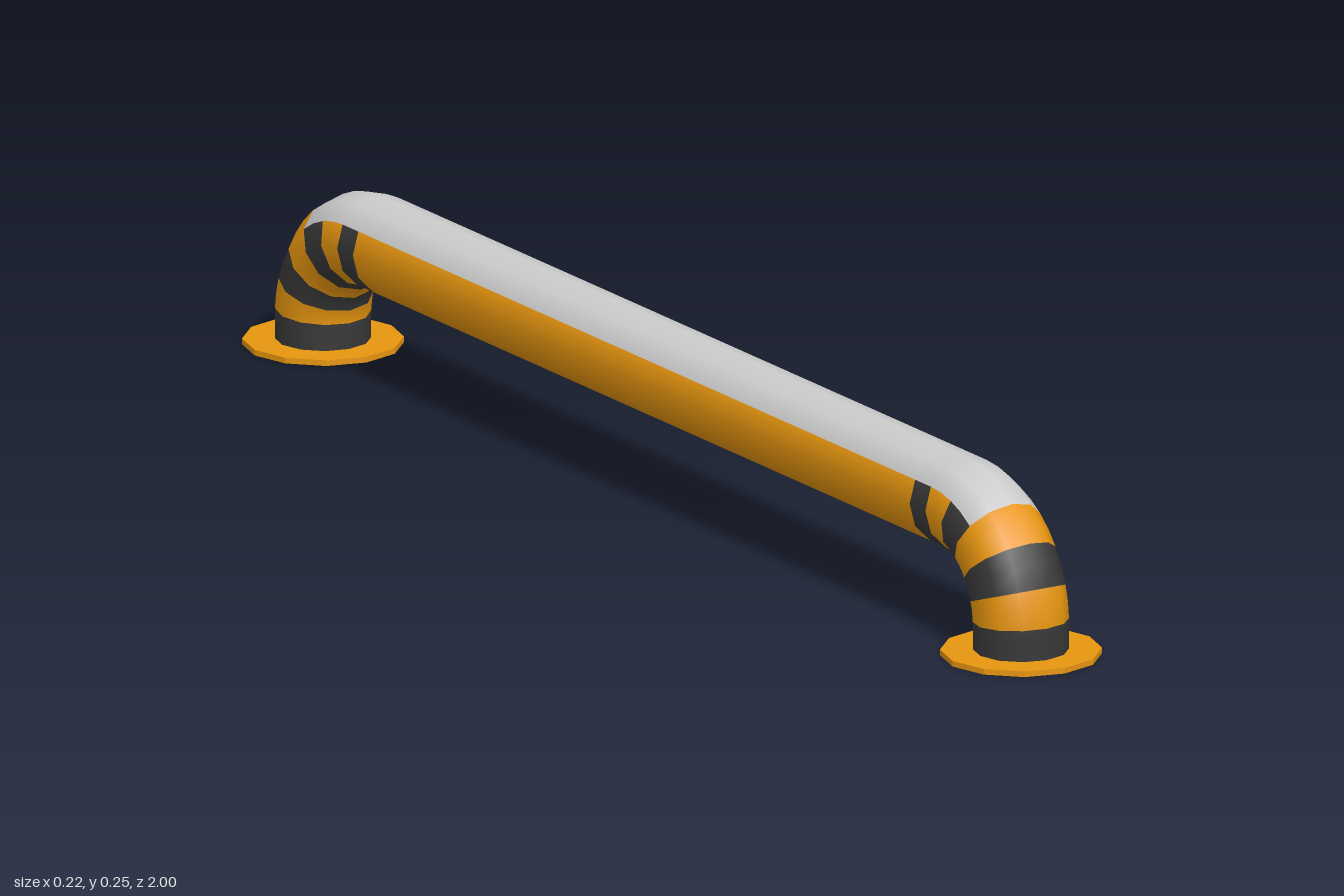
import * as THREE from 'three';

const R = 0.066;                 // pipe radius
const SIDES = 12;
const BEND = 0.14;               // centreline bend radius
const BEND_Y = 0.04, BEND_Z = 0.75;
const LEG_Z = BEND_Z + BEND;
const BAR_Y = BEND_Y + BEND;

const rad = THREE.MathUtils.degToRad;

// A station is a point on the pipe centreline with the bend angle there.
const bendStation = (deg) => ({
  y: BEND_Y + BEND * Math.sin(rad(deg)),
  z: BEND_Z + BEND * Math.cos(rad(deg)),
  a: rad(deg),
});
const legStation = (y) => ({ y, z: LEG_Z, a: 0 });
const barStation = (z) => ({ y: BAR_Y, z, a: Math.PI / 2 });

// Smooth strip of pipe wall along the stations, from side `from` to side `to`.
// Side 0 is at +x and side 3 is on the outside of the bend.
function pipeWall(stations, from = 0, to = SIDES) {
  const pos = [], nor = [], idx = [];
  const n = to - from + 1;
  stations.forEach((s, i) => {
    for (let j = 0; j < n; j++) {
      const phi = ((from + j) / SIDES) * Math.PI * 2;
      const nx = Math.cos(phi);
      const ny = Math.sin(phi) * Math.sin(s.a);
      const nz = Math.sin(phi) * Math.cos(s.a);
      pos.push(R * nx, s.y + R * ny, s.z + R * nz);
      nor.push(nx, ny, nz);
      if (i > 0 && j > 0) {
        const d = i * n + j, c = d - 1, b = d - n, a = b - 1;
        idx.push(a, c, b, b, c, d);
      }
    }
  });
  const g = new THREE.BufferGeometry();
  g.setAttribute('position', new THREE.Float32BufferAttribute(pos, 3));
  g.setAttribute('normal', new THREE.Float32BufferAttribute(nor, 3));
  g.setIndex(idx);
  return g;
}

// Flat twelve-sided ring lying on the ground.
function flangeGeometry() {
  const ring = (r) => Array.from({ length: SIDES }, (_, i) => {
    const t = (i / SIDES) * Math.PI * 2;
    return new THREE.Vector2(r * Math.cos(t), r * Math.sin(t));
  });
  const shape = new THREE.Shape(ring(0.111));
  shape.holes.push(new THREE.Path(ring(0.064)));
  const g = new THREE.ExtrudeGeometry(shape, { depth: 0.008, bevelEnabled: false });
  return g.rotateX(-Math.PI / 2).translate(0, 0, LEG_Z);
}

export function createModel() {
  const material = (name, color) => {
    const m = new THREE.MeshStandardMaterial({ color, side: THREE.DoubleSide });
    m.name = name;
    return m;
  };
  const orange = material('orange', 0xe8960f);
  const dark = material('charcoal', 0x383838);
  const grey = material('lightGrey', 0xcccccc);

  const add = (parent, name, geometry, mat) => {
    const mesh = new THREE.Mesh(geometry, mat);
    mesh.name = name;
    parent.add(mesh);
  };

  // One end: flange, leg, striped bend and the grey top running over it
  const buildEnd = (name) => {
    const end = new THREE.Group();
    end.name = name;
    add(end, 'flange', flangeGeometry(), orange);
    add(end, 'legStripe', pipeWall([legStation(0.004), bendStation(0), bendStation(3.5)]), dark);

    const limits = [3.5, 19, 37, 55, 73, 90];
    for (let i = 0; i < 5; i++) {
      const [a, b] = [limits[i], limits[i + 1]];
      const stations = [a, (a + b) / 2, b].map(bendStation);
      const mat = i % 2 ? dark : orange;
      if (a < 55) {
        add(end, 'bendStripe', pipeWall(stations), mat);
      } else {
        add(end, 'bendStripe', pipeWall(stations, 5, 13), mat);
        add(end, 'bendTop', pipeWall(stations, 1, 5), grey);
      }
    }
    const straight = [barStation(BEND_Z), barStation(0.71)];
    add(end, 'barEndStripe', pipeWall(straight, 5, 13), dark);
    add(end, 'barEndTop', pipeWall(straight, 1, 5), grey);
    return end;
  };

  const model = new THREE.Group();
  model.name = 'barrierRail';
  const front = buildEnd('frontEnd');
  const back = buildEnd('backEnd');
  back.rotation.y = Math.PI;
  model.add(front, back);

  // Long straight bar
  const span = [barStation(0.71), barStation(-0.71)];
  add(model, 'bar', pipeWall(span, 5, 13), orange);
  add(model, 'barTop', pipeWall(span, 1, 5), grey);
  return model;
}
